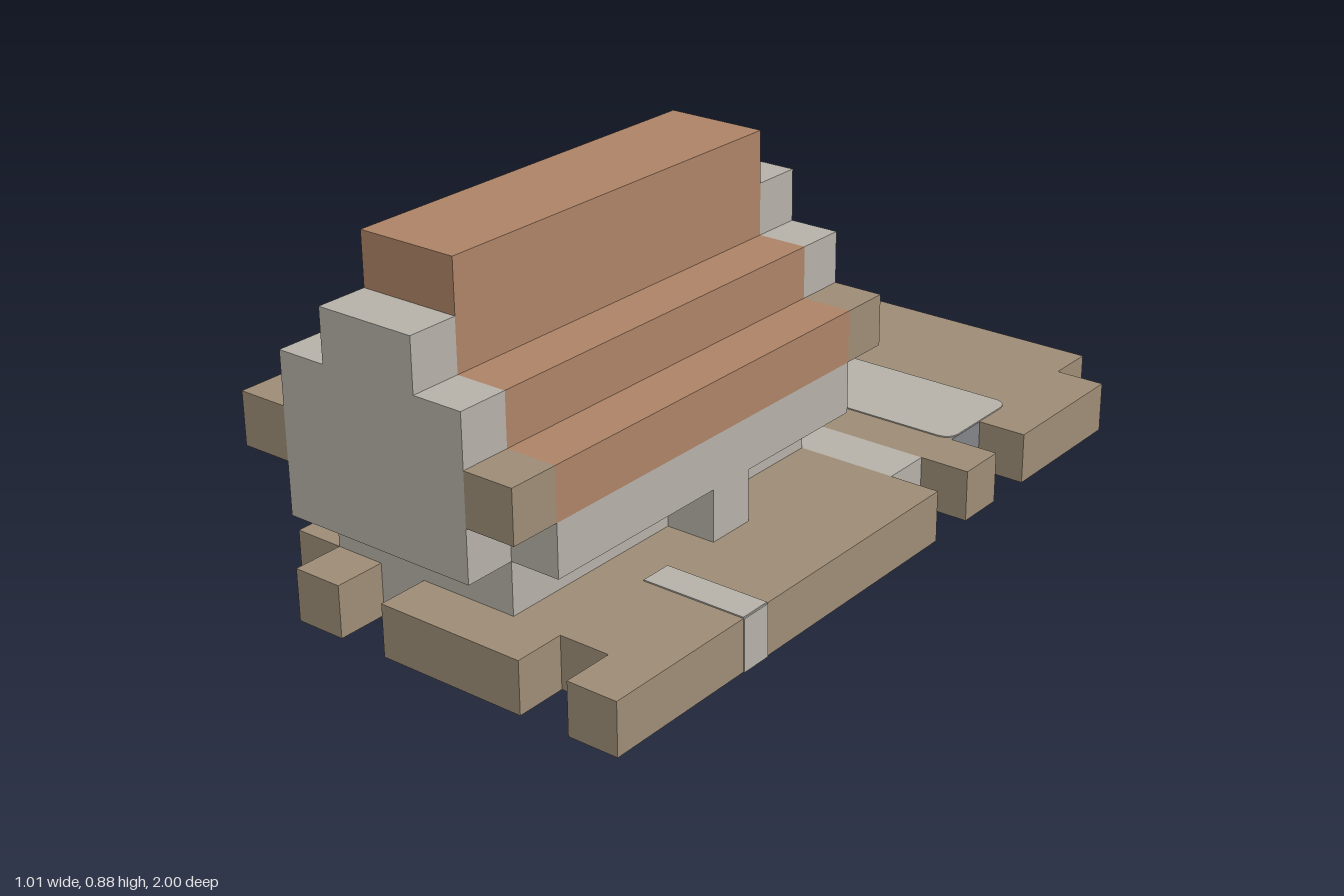
import * as THREE from 'three';

const CELL = 0.125;
const material = (name, color) =>
  new THREE.MeshStandardMaterial({ name, color, side: THREE.DoubleSide });

export function createModel() {
  const model = new THREE.Group();
  model.name = 'blockHouse';
  const stone = material('stone', 0xb7b3aa);
  const earth = material('earth', 0x9f8e77);
  const tile = material('roofTile', 0xae8467);
  const slate = material('darkStone', 0x85868a);

  // Block grid: later fills replace earlier ones
  const cells = new Map();
  const parts = new Map();
  const key = (x, y, z) => `${x},${y},${z}`;
  function fill(name, mat, [x0, x1], [y0, y1], [z0, z1]) {
    parts.set(name, mat);
    for (let x = x0; x < x1; x++)
      for (let y = y0; y < y1; y++)
        for (let z = z0; z < z1; z++) cells.set(key(x, y, z), { name, p: [x, y, z] });
  }

  // Ground slab with its ragged outline
  const slab = [
    [1, 7, 0, 1], [1, 8, 1, 2], [0, 8, 2, 4], [0, 7, 4, 5], [0, 8, 5, 6], [0, 8, 7, 15],
    [1, 2, 15, 16], [3, 6, 15, 16], [7, 8, 15, 16],
  ];
  for (const [x0, x1, z0, z1] of slab) fill('ground', earth, [x0, x1], [0, 1], [z0, z1]);
  fill('backPath', stone, [1, 7], [0, 1], [6, 7]);
  fill('doorstep', stone, [2, 3], [0, 1], [14, 15]);
  fill('postFooting', stone, [0, 1], [0, 1], [10, 11]);

  // House base, side posts and walls
  fill('base', stone, [1, 5], [1, 2], [7, 15]);
  fill('posts', stone, [0, 6], [1, 2], [10, 11]);
  fill('walls', stone, [0, 6], [2, 3], [7, 15]);

  // Stepped roof
  fill('roof', tile, [0, 6], [3, 4], [7, 15]);
  fill('roof', tile, [1, 5], [4, 5], [7, 15]);
  fill('roof', tile, [2, 4], [5, 7], [7, 15]);
  fill('chimney', stone, [1, 2], [5, 6], [8, 9]);

  // Gable and eave ends at the back and front
  for (const [name, z] of [['backGable', 6], ['frontGable', 15]]) {
    fill('eaveEnds', earth, [0, 6], [3, 4], [z, z + 1]);
    fill(name, stone, [1, 5], [2, 5], [z, z + 1]);
    fill(name, stone, [2, 4], [5, 6], [z, z + 1]);
  }

  // Outer faces of each part; the underside of the slab is left open
  const faces = new Map([...parts.keys()].map((n) => [n, { pos: [], nor: [] }]));
  const quad = [[0, 0], [1, 0], [1, 1], [0, 0], [1, 1], [0, 1]];
  for (const { name, p } of cells.values()) {
    const { pos, nor } = faces.get(name);
    for (let a = 0; a < 3; a++) {
      for (const s of [1, -1]) {
        const next = [...p];
        next[a] += s;
        if (cells.has(key(...next)) || next[1] < 0) continue;
        const normal = [0, 0, 0];
        normal[a] = s;
        for (const [i, j] of quad) {
          const c = [...p];
          c[a] += s > 0 ? 1 : 0;
          c[(a + 1) % 3] += s > 0 ? i : j;
          c[(a + 2) % 3] += s > 0 ? j : i;
          pos.push((c[0] - 4) * CELL, c[1] * CELL, (c[2] - 8) * CELL);
          nor.push(...normal);
        }
      }
    }
  }
  for (const [name, { pos, nor }] of faces) {
    if (!pos.length) continue;
    const g = new THREE.BufferGeometry();
    g.setAttribute('position', new THREE.Float32BufferAttribute(pos, 3));
    g.setAttribute('normal', new THREE.Float32BufferAttribute(nor, 3));
    const mesh = new THREE.Mesh(g, parts.get(name));
    mesh.name = name;
    model.add(mesh);
  }

  // Thin painted patches straddling the surfaces
  const T = 0.006;
  function patch(name, mat, size, at) {
    const mesh = new THREE.Mesh(new THREE.BoxGeometry(...size), mat);
    mesh.name = name;
    mesh.position.set(...at);
    model.add(mesh);
  }
  patch('rightPathTop', stone, [0.26, T, 0.08], [0.37, 0.125, 0.56]);
  patch('rightPathSide', stone, [T, 0.125, 0.08], [0.5, 0.0625, 0.56]);
  patch('leftPathTop', stone, [0.125, T, 0.22], [-0.4375, 0.125, 0.68]);
  patch('leftPathSide', stone, [T, 0.125, 0.22], [-0.5, 0.0625, 0.68]);
  patch('notchFace', slate, [T, 0.125, 0.125], [0.375, 0.0625, -0.4375]);

  // Rounded paved yard behind the house
  const [w, h, r] = [0.38, 0.13, 0.04];
  const yard = new THREE.Shape();
  yard.moveTo(-w + r, -h);
  yard.lineTo(w - r, -h);
  yard.quadraticCurveTo(w, -h, w, -h + r);
  yard.lineTo(w, h - r);
  yard.quadraticCurveTo(w, h, w - r, h);
  yard.lineTo(-w + r, h);
  yard.quadraticCurveTo(-w, h, -w, h - r);
  yard.lineTo(-w, -h + r);
  yard.quadraticCurveTo(-w, -h, -w + r, -h);
  const yardGeo = new THREE.ExtrudeGeometry(yard, { depth: T, bevelEnabled: false });
  yardGeo.rotateX(-Math.PI / 2);
  const yardMesh = new THREE.Mesh(yardGeo, stone);
  yardMesh.name = 'pavedYard';
  yardMesh.position.set(-0.003, 0.125 - T / 2, -0.5);
  model.add(yardMesh);

  // Arched back door
  const arch = new THREE.Shape();
  arch.moveTo(-0.0625, 0);
  arch.lineTo(0.0625, 0);
  arch.lineTo(0.0625, 0.09);
  arch.quadraticCurveTo(0.0625, 0.125, 0.03, 0.125);
  arch.lineTo(-0.03, 0.125);
  arch.quadraticCurveTo(-0.0625, 0.125, -0.0625, 0.09);
  const doorGeo = new THREE.ExtrudeGeometry(arch, { depth: T, bevelEnabled: false });
  const door = new THREE.Mesh(doorGeo, earth);
  door.name = 'backDoor';
  door.position.set(-0.0625, 0.25, -0.25 - T / 2);
  model.add(door);

  return model;
}
